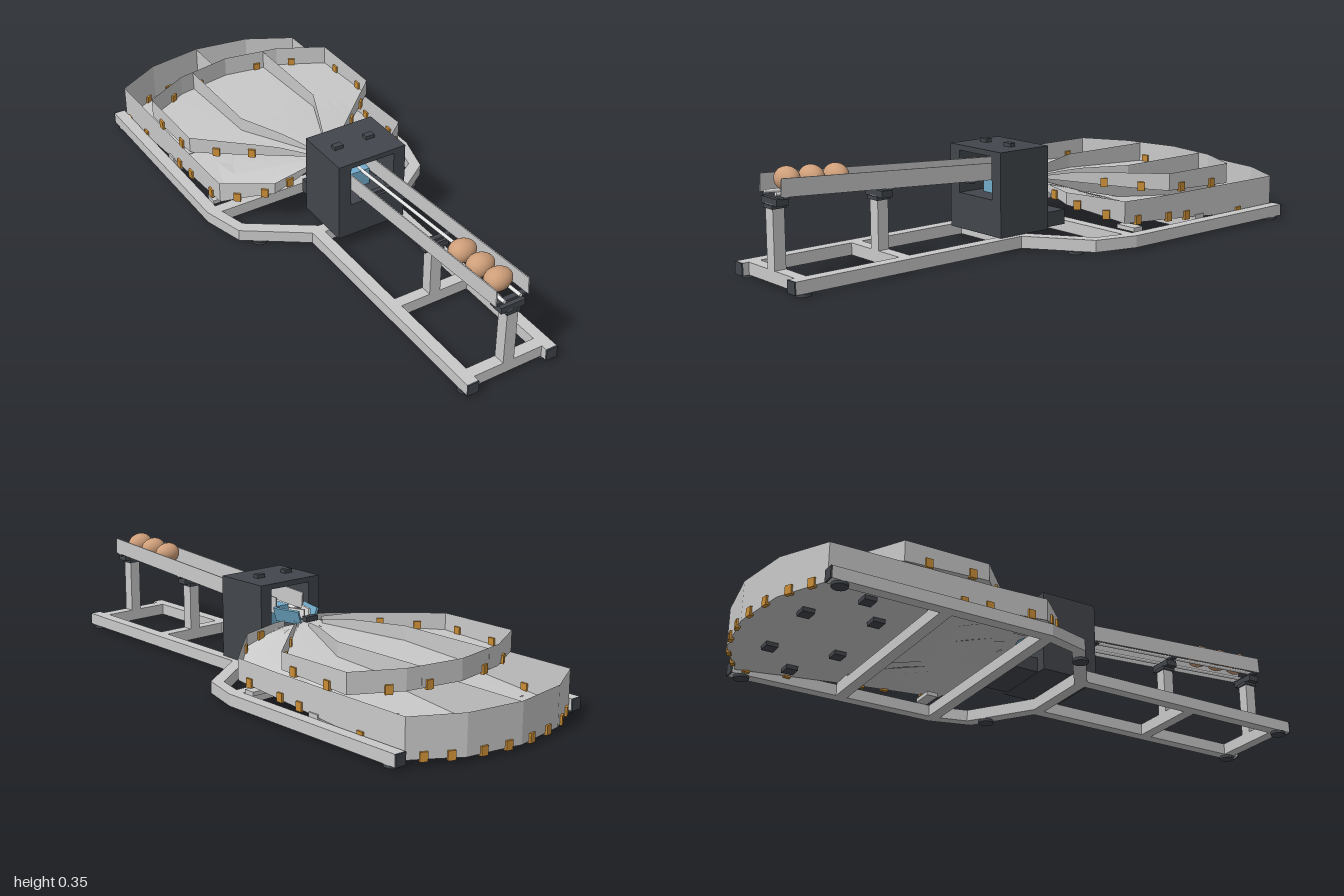
import * as THREE from 'three';

const mat = (name, color, side = THREE.FrontSide) => {
  const m = new THREE.MeshStandardMaterial({ color, side });
  m.name = name;
  return m;
};

// piecewise-linear lookup through [distance, height] pairs
const ramp = (pts) => (r) => {
  for (let i = 1; i < pts.length; i++) {
    const [a, ya] = pts[i - 1], [b, yb] = pts[i];
    if (r <= b) return ya + (yb - ya) * Math.max(0, (r - a) / (b - a));
  }
  return pts[pts.length - 1][1];
};

// flat-shaded sheet through rows of [x, y, z] points
function sheet(rows) {
  const pos = [];
  for (let i = 0; i < rows.length - 1; i++) {
    for (let j = 0; j < rows[i].length - 1; j++) {
      const a = rows[i][j], b = rows[i][j + 1], c = rows[i + 1][j + 1], d = rows[i + 1][j];
      pos.push(...a, ...b, ...c, ...a, ...c, ...d);
    }
  }
  const g = new THREE.BufferGeometry();
  g.setAttribute('position', new THREE.Float32BufferAttribute(pos, 3));
  g.computeVertexNormals();
  return g;
}

// split each leg of an [x, z] path into n pieces
function divide(path, n) {
  const out = [path[0]];
  for (let i = 1; i < path.length; i++) {
    const [ax, az] = path[i - 1], [bx, bz] = path[i];
    for (let k = 1; k <= n; k++) out.push([ax + (bx - ax) * k / n, az + (bz - az) * k / n]);
  }
  return out;
}

export function createModel() {
  const model = new THREE.Group();
  model.name = 'eggSortingTable';
  const steel = mat('light steel', 0xc9c9ca, THREE.DoubleSide);
  const dark = mat('dark plastic', 0x42464c);
  const amber = mat('amber clip', 0xcb8e36);
  const shell = mat('egg shell', 0xcf9f7a);
  const blue = mat('blue plastic', 0x72accb);
  const white = mat('pale rod', 0xe4e4e4);

  const add = (name, geo, material, x = 0, y = 0, z = 0, parent = model) => {
    const m = new THREE.Mesh(geo, material);
    m.name = name;
    m.position.set(x, y, z);
    parent.add(m);
    return m;
  };
  const box = (name, material, w, h, d, x, y, z) =>
    add(name, new THREE.BoxGeometry(w, h, d), material, x, y, z);

  // base frame: bent side rails, end caps and feet
  const railPlan = [[0.165, 0.995], [0.165, 0.135], [0.365, -0.005], [0.405, -0.15], [0.405, -0.885],
    [0.365, -0.885], [0.365, -0.15], [0.335, -0.035], [0.125, 0.11], [0.125, 0.995]];
  for (const s of [-1, 1]) {
    const shape = new THREE.Shape(railPlan.map(([x, z]) => new THREE.Vector2(s * x, -z)));
    const geo = new THREE.ExtrudeGeometry(shape, { depth: 0.04, bevelEnabled: false });
    add('sideRail', geo.rotateX(-Math.PI / 2), steel, 0, 0.01, 0);
    box('railEndCap', dark, 0.04, 0.04, 0.006, s * 0.145, 0.03, 0.997);
    box('railEndCap', dark, 0.04, 0.04, 0.006, s * 0.385, 0.03, -0.888);
    for (const [x, z] of [[0.145, 0.96], [0.3, 0.02], [0.38, -0.85]])
      add('foot', new THREE.CylinderGeometry(0.026, 0.026, 0.01, 12), dark, s * x, 0.005, z);
    // tray support blocks on the rails
    for (const z of [-0.2, -0.5]) box('traySupport', steel, 0.08, 0.014, 0.04, s * 0.325, 0.057, z);
  }
  for (const [w, z] of [[0.25, 0.955], [0.25, 0.58], [0.25, 0.13], [0.73, -0.15], [0.73, -0.5]])
    box('crossBeam', steel, w, 0.04, 0.04, 0, 0.03, z);

  // posts with dark brackets carrying the chute
  for (const [z, top] of [[0.955, 0.25], [0.58, 0.224]]) {
    box('post', steel, 0.04, top - 0.05, 0.04, 0, (top + 0.05) / 2, z);
    box('postBracket', dark, 0.086, 0.022, 0.04, 0, top + 0.007, z);
    box('postCollar', dark, 0.05, 0.012, 0.05, 0, top - 0.008, z);
  }

  // sloping feed chute: two side plates, two rods and ties between them
  const chute = new THREE.Group();
  chute.name = 'feedChute';
  chute.position.set(0, 0.276, 0.97);
  chute.rotation.x = -Math.atan(0.064);
  model.add(chute);
  const len = 0.94;
  for (const s of [-1, 1]) {
    add('chuteWall', new THREE.BoxGeometry(0.004, 0.056, len), steel, s * 0.058, 0.028, -len / 2, chute);
    const rod = new THREE.CylinderGeometry(0.006, 0.006, len, 10).rotateX(Math.PI / 2);
    add('chuteRod', rod, white, s * 0.029, 0.006, -len / 2, chute);
  }
  for (const z of [-0.02, -0.39, -0.72])
    add('chuteTie', new THREE.BoxGeometry(0.116, 0.008, 0.02), dark, 0, -0.004, z, chute);

  // eggs lying across the rods, blunt end to one side
  for (const z of [0.905, 0.82, 0.732]) {
    const geo = new THREE.SphereGeometry(1, 28, 18);
    const p = geo.attributes.position;
    for (let i = 0; i < p.count; i++) {
      const k = 1 - 0.1 * p.getX(i);
      p.setXYZ(i, p.getX(i) * 0.047, p.getY(i) * 0.037 * k, p.getZ(i) * 0.037 * k);
    }
    geo.computeVertexNormals();
    add('egg', geo, shell, -0.005, 0.315 - (0.905 - z) * 0.064, z);
  }

  // drive housing with a window right through it
  const rect = (C, x0, y0, x1, y1) => new C([[x0, y0], [x1, y0], [x1, y1], [x0, y1]]
    .map(([x, y]) => new THREE.Vector2(x, y)));
  const face = rect(THREE.Shape, -0.108, 0.05, 0.146, 0.33);
  face.holes.push(rect(THREE.Path, -0.062, 0.17, 0.102, 0.312));
  add('driveHousing', new THREE.ExtrudeGeometry(face, { depth: 0.205, bevelEnabled: false }), dark, 0, 0, 0.003);
  box('controlBox', dark, 0.2, 0.05, 0.09, 0.03, 0.077, -0.042);
  for (const x of [-0.05, 0.07]) box('housingButton', dark, 0.032, 0.013, 0.022, x, 0.336, 0.105);

  // diverter inside the window
  box('diverterBody', blue, 0.085, 0.06, 0.07, 0.015, 0.2, 0.1);
  box('diverterMotor', dark, 0.028, 0.035, 0.05, 0.088, 0.214, 0.12);
  for (const s of [-1, 1]) {
    const wing = box('diverterWing', blue, 0.008, 0.05, 0.1, s * 0.047, 0.216, -0.015);
    wing.rotation.set(0, s * 0.25, -s * 0.35);
    box('gateArm', white, 0.008, 0.03, 0.06, s * 0.02, 0.225, -0.03).rotation.y = s * 0.3;
  }
  box('diverterFloor', blue, 0.08, 0.006, 0.08, 0, 0.204, 0.0);
  box('spoutBracket', dark, 0.05, 0.018, 0.02, 0, 0.212, -0.075);

  // fan trays: floor and rim height follow the distance from the spout
  function tray(name, half, floor, rim, dividers, clips) {
    const g = new THREE.Group();
    g.name = name;
    model.add(g);
    const mirrored = half.slice(0, -1).reverse().map(([x, z]) => [-x, z]);
    const edge = divide([...half, ...mirrored], 4);
    const at = (x, z, f) => [x, f(Math.hypot(x, z)), z];
    const rows = [];
    for (let k = 0; k <= 10; k++) {
      const t = k / 10;
      rows.push(edge.map(([x, z]) => at(x * t, -0.03 + (z + 0.03) * t, floor)));
    }
    add('trayFloor', sheet(rows), steel, 0, 0, 0, g);
    const wall = (part, path, drop = 0) => add(part, sheet([
      path.map(([x, z]) => at(x, z, floor)),
      path.map(([x, z]) => at(x, z, (r) => rim(r) - drop))]), steel, 0, 0, 0, g);
    wall('trayRim', edge);
    for (const d of dividers) wall('trayDivider', divide(d, 5), 0.003);
    // clips joining rim and floor: [leg of the half outline, fraction along it]
    for (const [leg, t] of clips) {
      const [ax, az] = half[leg], [bx, bz] = half[leg + 1];
      const x = ax + (bx - ax) * t, z = az + (bz - az) * t;
      for (const s of [-1, 1]) {
        const c = add('rimClip', new THREE.BoxGeometry(0.024, 0.03, 0.014), amber,
          s * x, floor(Math.hypot(x, z)) + 0.009, z, g);
        c.rotation.y = -s * Math.atan2(bz - az, bx - ax);
      }
    }
  }

  const lowFloor = ramp([[0, 0.188], [0.1, 0.18], [0.25, 0.132], [0.39, 0.082], [0.5, 0.068], [1, 0.014]]);
  tray('lowerTray',
    [[0.06, -0.015], [0.22, -0.012], [0.36, -0.14], [0.36, -0.88], [0.2, -0.968], [0, -0.999]],
    lowFloor, ramp([[0, 0.204], [0.1, 0.202], [0.42, 0.152], [1, 0.148]]),
    [[[0, -0.12], [0, -0.999]]],
    [[0, 0.65], [1, 0.18], [1, 0.68], [2, 0.08], [2, 0.28], [2, 0.4], [2, 0.76], [2, 0.95],
      [3, 0.3], [3, 0.75], [4, 0.3], [4, 0.75]]);

  const div = (s) => [[s * 0.03, -0.1], [s * 0.147, -0.37], [s * 0.147, -0.735]];
  tray('upperTray',
    [[0.055, -0.07], [0.13, -0.14], [0.36, -0.35], [0.36, -0.64], [0.2, -0.725], [0, -0.76]],
    ramp([[0, 0.2], [0.1, 0.196], [0.4, 0.17], [0.76, 0.152]]),
    ramp([[0, 0.206], [0.08, 0.208], [0.2, 0.223], [1, 0.223]]),
    [div(1), div(-1)],
    [[1, 0.3], [1, 0.7], [2, 0.2], [2, 0.72], [3, 0.7], [4, 0.4]]);

  // pads below the lower tray
  for (const s of [-1, 1])
    for (const [x, z] of [[0.14, -0.62], [0.14, -0.85], [0.29, -0.72]])
      box('trayPad', dark, 0.045, 0.014, 0.04, s * x, lowFloor(Math.hypot(x, z)) - 0.009, z);

  return model;
}
